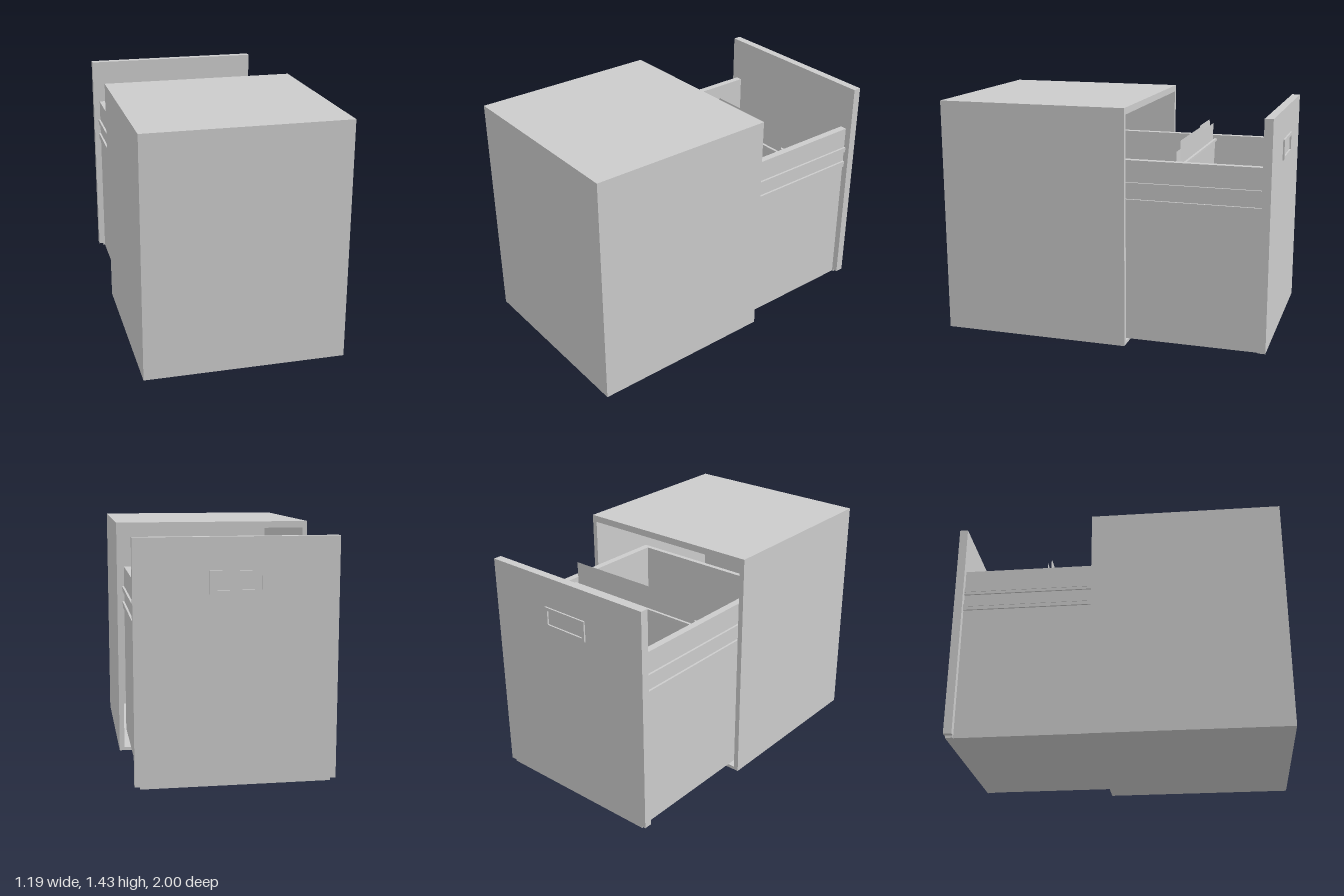
import * as THREE from 'three';

const grey = new THREE.MeshStandardMaterial({ color: 0xcccccc, flatShading: true });
const sheet = new THREE.MeshStandardMaterial({ color: 0xcccccc, side: THREE.DoubleSide });

// Box given by its minimum and maximum on each axis
function box(parent, name, [x0, x1], [y0, y1], [z0, z1]) {
  const mesh = new THREE.Mesh(new THREE.BoxGeometry(x1 - x0, y1 - y0, z1 - z0), grey);
  mesh.position.set((x0 + x1) / 2, (y0 + y1) / 2, (z0 + z1) / 2);
  mesh.name = name;
  parent.add(mesh);
  return mesh;
}

// Same box on both sides of x = 0
function pair(parent, name, [x0, x1], y, z) {
  box(parent, name + 'Left', [x0, x1], y, z);
  box(parent, name + 'Right', [-x1, -x0], y, z);
}

// Thin paper leaf from an outline, hinged at its lower edge and leaning in z
function leaf(parent, name, points, zBottom, zTop, yBottom, yTop) {
  const shape = new THREE.Shape(points.map(([x, y]) => new THREE.Vector2(x, y)));
  const geo = new THREE.ShapeGeometry(shape);
  const p = geo.attributes.position;
  for (let i = 0; i < p.count; i++) {
    p.setZ(i, zBottom + (zTop - zBottom) * (p.getY(i) - yBottom) / (yTop - yBottom));
  }
  geo.computeVertexNormals();
  const mesh = new THREE.Mesh(geo, sheet);
  mesh.name = name;
  parent.add(mesh);
}

function group(parent, name) {
  const g = new THREE.Group();
  g.name = name;
  parent.add(g);
  return g;
}

export function createModel() {
  const model = new THREE.Group();
  model.name = 'filingCabinet';

  // Cabinet shell, open towards -z
  const cabinet = group(model, 'cabinet');
  const depth = [-0.15, 1];
  box(cabinet, 'cabinetTop', [-0.595, 0.595], [1.39, 1.43], depth);
  box(cabinet, 'cabinetBase', [-0.595, 0.595], [0, 0.02], depth);
  pair(cabinet, 'cabinetSide', [0.565, 0.595], [0.02, 1.39], depth);
  box(cabinet, 'cabinetBack', [-0.565, 0.565], [0.02, 1.39], [0.97, 1]);

  // Pulled-out drawer box
  const drawer = group(model, 'drawer');
  const run = [-0.94, 0.27];
  box(drawer, 'drawerFloor', [-0.525, 0.525], [0.025, 0.05], run);
  pair(drawer, 'drawerSide', [0.482, 0.525], [0.05, 1.12], run);
  box(drawer, 'drawerBack', [-0.482, 0.482], [0.05, 1.12], [0.24, 0.27]);

  // Stepped runners on the drawer sides
  for (const [y0, y1, y2] of [[0.85, 0.872, 0.89], [0.955, 0.972, 0.99]]) {
    pair(drawer, 'runnerLower', [0.525, 0.535], [y0, y1], run);
    pair(drawer, 'runnerUpper', [0.525, 0.538], [y1, y2], run);
  }

  // Drawer front with its lower lip
  box(drawer, 'drawerFront', [-0.565, 0.565], [0.04, 1.4], [-0.99, -0.94]);
  box(drawer, 'drawerFrontLip', [-0.535, 0.535], [0.025, 0.04], [-0.985, -0.94]);

  // Label holder frame
  const outer = new THREE.Shape();
  outer.moveTo(-0.153, 1.095).lineTo(0.153, 1.095).lineTo(0.153, 1.22).lineTo(-0.153, 1.22).closePath();
  const hole = new THREE.Path();
  hole.moveTo(-0.133, 1.115).lineTo(-0.133, 1.2).lineTo(0.133, 1.2).lineTo(0.133, 1.115).closePath();
  outer.holes.push(hole);
  const frame = new THREE.Mesh(new THREE.ExtrudeGeometry(outer, { depth: 0.01, bevelEnabled: false }), grey);
  frame.position.z = -1;
  frame.name = 'labelHolder';
  drawer.add(frame);

  // Hanging folder: two rods and a V of paper
  const folder = group(model, 'hangingFolder');
  for (const z of [-0.457, -0.409]) {
    box(folder, 'folderRod', [-0.472, 0.468], [1.085, 1.1], [z - 0.008, z + 0.008]);
    leaf(folder, 'folderSide', [[-0.46, 0.35], [0.46, 0.35], [0.46, 1.1], [-0.46, 1.1]], -0.433, z, 0.35, 1.1);
  }

  // Paper folder inside, with a full leaf and a tabbed leaf
  leaf(folder, 'frontLeaf', [
    [-0.45, 0.37], [0.45, 0.37], [0.45, 1.237], [-0.134, 1.237], [-0.155, 1.205], [-0.45, 1.205],
  ], -0.434, -0.445, 0.37, 1.237);
  leaf(folder, 'tabbedLeaf', [
    [-0.45, 0.37], [0.45, 0.37], [0.45, 1.17], [-0.135, 1.17], [-0.164, 1.23], [-0.435, 1.23], [-0.455, 1.205],
  ], -0.432, -0.42, 0.37, 1.237);

  return model;
}
